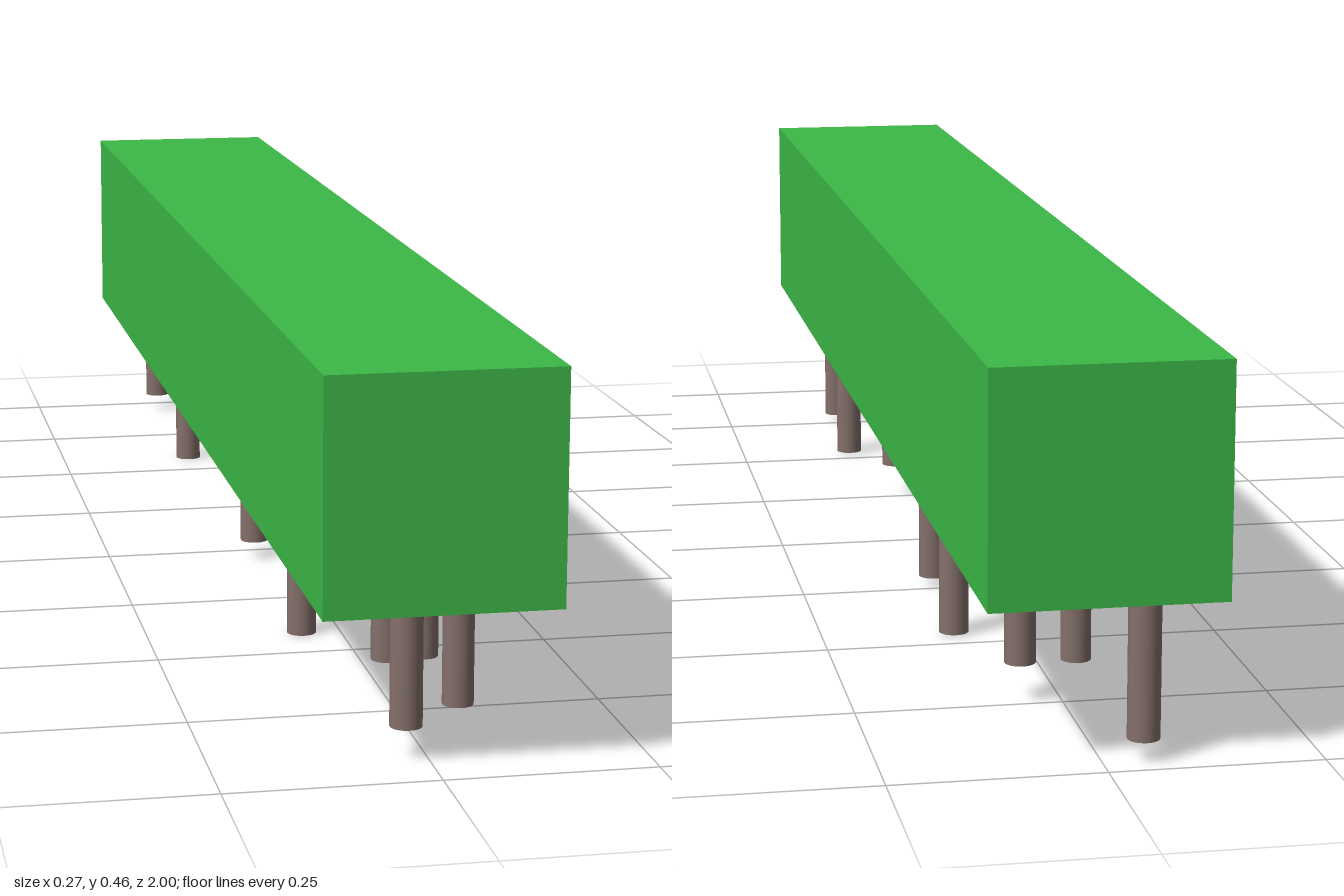
import * as THREE from 'three';

const HEDGE_BOTTOM = 0.19, HEDGE_SIZE = 0.274, POST_RADIUS = 0.019;

// One half of the hedge: x, z and foot height of each trunk
const TRUNKS = [
  [-0.024, 0.915, 0.037],
  [0.071, 0.772, 0.012],
  [0.008, 0.661, 0.037],
  [0.081, 0.545, 0.002],
  [-0.05, 0.411, 0],
  [0.049, 0.265, 0.047],
  [-0.048, 0.035, 0.025],
];

export function createModel() {
  const group = new THREE.Group();
  const leaf = new THREE.MeshStandardMaterial({ color: 0x3cb847 });
  const bark = new THREE.MeshStandardMaterial({ color: 0x84706a });

  // Clipped block of foliage
  const foliage = new THREE.Mesh(new THREE.BoxGeometry(HEDGE_SIZE, HEDGE_SIZE, 2), leaf);
  foliage.name = 'foliage';
  foliage.position.y = HEDGE_BOTTOM + HEDGE_SIZE / 2;
  group.add(foliage);

  // Trunks, the same row repeated for the front and back halves
  const trunks = new THREE.Group();
  trunks.name = 'trunks';
  for (const offset of [0, -0.998]) {
    for (const [x, z, foot] of TRUNKS) {
      const height = HEDGE_BOTTOM + 0.02 - foot;
      const trunk = new THREE.Mesh(
        new THREE.CylinderGeometry(POST_RADIUS, POST_RADIUS, height, 24), bark);
      trunk.name = 'trunk';
      trunk.position.set(x, foot + height / 2, z + offset);
      trunks.add(trunk);
    }
  }
  group.add(trunks);
  return group;
}
